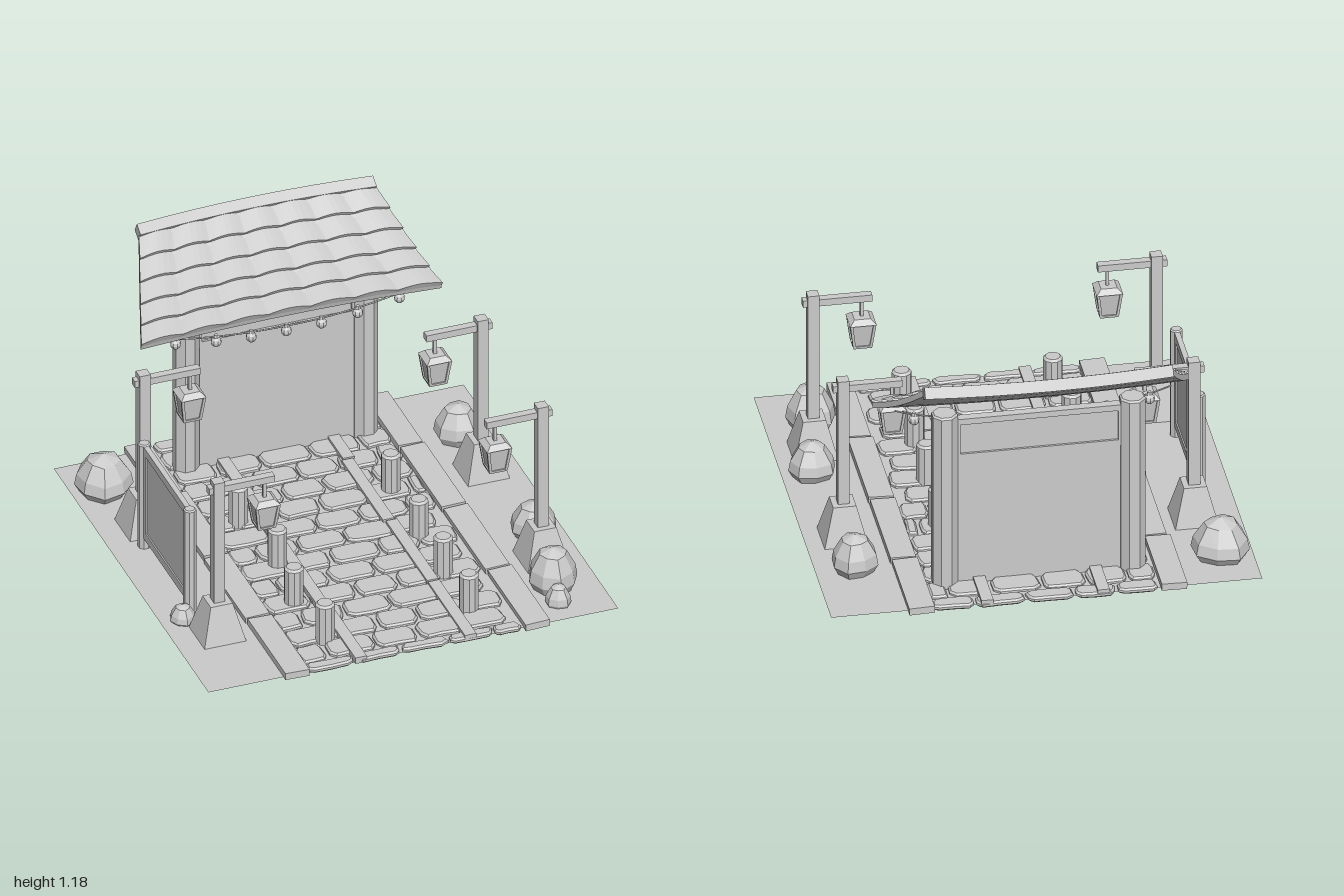
import * as THREE from 'three';

const mat = new THREE.MeshStandardMaterial({ color: 0xcccccc, flatShading: true });
const matDouble = new THREE.MeshStandardMaterial({ color: 0xcccccc, flatShading: true, side: THREE.DoubleSide });

let seed = 7;
const rnd = () => { seed = (seed * 16807) % 2147483647; return seed / 2147483647; };
const jitter = (a) => (rnd() - 0.5) * 2 * a;

function add(parent, name, geo, x = 0, y = 0, z = 0, m = mat) {
  const mesh = new THREE.Mesh(geo, m);
  mesh.name = name;
  mesh.position.set(x, y, z);
  parent.add(mesh);
  return mesh;
}
const box = (w, h, d) => new THREE.BoxGeometry(w, h, d);
const toPoints = (list) => list.map(p => new THREE.Vector2(...p));

// Round post with a chamfered top, standing on y = 0
function postGeo(r, h, bevel, sides = 8) {
  return new THREE.LatheGeometry(toPoints([[r, 0], [r, h - bevel], [r - bevel, h], [0, h]]), sides).rotateY(Math.PI / sides);
}

// Four-sided taper, standing on y = 0
function taper(bottom, top, h) {
  return new THREE.CylinderGeometry(top * Math.SQRT1_2, bottom * Math.SQRT1_2, h, 4).rotateY(Math.PI / 4).translate(0, h / 2, 0);
}

// Rectangular frame in the xy plane with a thinner panel inside
function framedPanel(parent, name, w, h, d, border) {
  const g = new THREE.Group();
  g.name = name;
  const x = w / 2, y = h / 2, a = x - border, b = y - border;
  const s = new THREE.Shape(toPoints([[-x, -y], [x, -y], [x, y], [-x, y]]));
  s.holes.push(new THREE.Path(toPoints([[-a, -b], [-a, b], [a, b], [a, -b]])));
  add(g, 'frame', new THREE.ExtrudeGeometry(s, { depth: d, bevelEnabled: false }), 0, 0, -d / 2);
  add(g, 'panel', box(a * 2, b * 2, d * 0.5));
  parent.add(g);
  return g;
}

// Irregular bevelled paving stone
function stoneGeo(w, d) {
  const a = w / 2 - 0.008, b = d / 2 - 0.008;
  const ring = [[-1, -0.55], [-0.8, -1], [0, -1], [0.8, -1], [1, -0.55], [1, 0.55], [0.8, 1], [0, 1], [-0.8, 1], [-1, 0.55]];
  const s = new THREE.Shape(toPoints(ring.map(([x, y]) => [x * a + jitter(0.005), y * b + jitter(0.004)])));
  return new THREE.ExtrudeGeometry(s, { depth: 0.01, bevelThickness: 0.008, bevelSize: 0.008, bevelSegments: 1 }).rotateX(-Math.PI / 2);
}

function paving(root) {
  const g = new THREE.Group();
  g.name = 'paving';
  for (let k = 0; k < 15; k++) {
    const zc = -0.905 + k * 0.135;
    const z0 = Math.max(zc - 0.061, -0.92), z1 = Math.min(zc + 0.061, 0.98);
    let x = -0.485 - (k % 2) * 0.1;
    while (x < 0.46) {
      const w = 0.205 + jitter(0.025);
      const l = Math.max(x, -0.49), r = Math.min(x + w, 0.495);
      if (r - l > 0.05) add(g, 'stone', stoneGeo(r - l - 0.014, z1 - z0), (l + r) / 2, 0.054 + jitter(0.002), (z0 + z1) / 2);
      x += w;
    }
  }
  root.add(g);
}

function timbers(root) {
  // Edge planks: x, z start, z end
  const planks = [[-0.54, 0.02, 0.52], [-0.535, 0.53, 0.99], [-0.535, -0.5, 0.005], [-0.55, -0.92, -0.51],
    [0.553, 0.015, 0.52], [0.56, 0.53, 0.99], [0.55, -0.5, 0], [0.545, -0.93, -0.51]];
  for (const [x, a, b] of planks) add(root, 'edgePlank', box(0.11, 0.032, b - a), x, 0.066, (a + b) / 2).rotation.z = jitter(0.04);
  // Narrow rails dividing the paving
  for (const x of [-0.245, 0.255])
    for (const [a, b] of [[-0.92, -0.5], [-0.49, 0.01], [0.02, 0.52], [0.53, 0.98]])
      add(root, 'rail', box(0.052, 0.03, b - a), x + jitter(0.006), 0.068, (a + b) / 2);
}

// Roof surface: u across (-1..1), v up the slope (0..1), h lift above the underside
function roofPoint(u, v, h) {
  return [u * (0.685 - 0.145 * v), 0.84 + 0.21 * v + 0.07 * v * v + h * 0.85, -0.51 - 0.41 * v - 0.03 * (1 - u * u) + h * 0.25];
}

// Grid of quads over a list of rows, each row being a function of u
function loft(rows, n) {
  const pos = [], idx = [];
  rows.forEach((row, j) => {
    for (let i = 0; i <= n; i++) pos.push(...row(-1 + 2 * i / n));
    if (j) for (let i = 0; i < n; i++) {
      const a = (j - 1) * (n + 1) + i, b = a + n + 1;
      idx.push(a, a + 1, b + 1, a, b + 1, b);
    }
  });
  const geo = new THREE.BufferGeometry();
  geo.setAttribute('position', new THREE.Float32BufferAttribute(pos, 3));
  geo.setIndex(idx);
  geo.computeVertexNormals();
  return geo;
}

function roof(root) {
  const g = new THREE.Group();
  g.name = 'roof';
  const surface = (name, rows, n) => add(g, name, loft(rows, n), 0, 0, 0, matDouble);
  const cols = 7, courses = 5;
  const wave = u => 0.018 * Math.abs(Math.sin(Math.PI * cols * (u + 1) / 2));
  // Overlapping tile courses, each with a raised lower lip
  for (let r = 0; r < courses; r++) {
    const v0 = r / courses, v1 = (r + 1) / courses;
    surface('tileCourse', [
      u => roofPoint(u, v0, 0.022),
      u => roofPoint(u, v0 - 0.012, 0.046 + wave(u)),
      u => roofPoint(u, v1, 0.026 + wave(u)),
    ], cols * 6);
  }
  // Slab below the tiles: closed loop of top and underside, then its two ends
  const steps = [0, 0.25, 0.5, 0.75, 1];
  const top = steps.map(v => u => roofPoint(u, v, 0.03));
  const under = steps.map(v => u => roofPoint(u, v, 0)).reverse();
  surface('roofSlab', [...top, ...under, top[0]], 7);
  for (const u of [-1, 1]) surface('slabEnd', [0, 0.03].map(h => t => roofPoint(u, (t + 1) / 2, h)), 4);
  // Bowed ridge beam and its ends
  const section = [[0, -0.028], [0.026, 0.018], [-0.02, 0.045], [-0.046, 0]];
  const ridge = section.map(([dz, dy]) => u => [u * 0.538, 1.136 + dy, -0.925 + dz - 0.03 * (1 - u * u)]);
  surface('ridgeBeam', [...ridge, ridge[0]], 8);
  for (const u of [-1, 1]) surface('ridgeEnd', [[0, 1], [3, 2]].map(([a, b]) => t => ridge[t < 0 ? a : b](u)), 1);
  root.add(g);
}

function gate(root) {
  const g = new THREE.Group();
  g.name = 'gateWall';
  for (const s of [-1, 1]) add(g, 'gatePost', postGeo(0.058, 0.9, 0.008), s * 0.407, 0, -0.7);
  add(g, 'wallPanel', box(0.74, 0.62, 0.03), 0, 0.36, -0.7);
  framedPanel(g, 'upperPanel', 0.74, 0.2, 0.04, 0.028).position.set(0, 0.77, -0.7);
  root.add(g);
}

function lightString(root) {
  const bulbs = [[-0.505, 0.795], [-0.32, 0.765], [-0.16, 0.752], [0, 0.747], [0.16, 0.75], [0.325, 0.765], [0.515, 0.797]];
  const pts = [[-0.6, 0.85], ...bulbs.map(([x, y]) => [x, y + 0.025]), [0.6, 0.85]].map(([x, y]) => new THREE.Vector3(x, y, -0.565));
  add(root, 'lightCord', new THREE.TubeGeometry(new THREE.CatmullRomCurve3(pts), 32, 0.004, 5));
  for (const [x, y] of bulbs) {
    add(root, 'bulb', new THREE.SphereGeometry(0.024, 8, 6), x, y, -0.565);
    add(root, 'bulbCap', new THREE.CylinderGeometry(0.009, 0.013, 0.018, 6), x, y + 0.026, -0.565);
  }
}

// Lamp post with its arm reaching toward +x
function lampPost() {
  const g = new THREE.Group();
  g.name = 'lampPost';
  add(g, 'base', taper(0.19, 0.1, 0.175), 0, 0.055, 0);
  add(g, 'post', box(0.05, 0.62, 0.05), 0, 0.525, 0);
  add(g, 'arm', box(0.3, 0.032, 0.036), 0.105, 0.795, 0);
  add(g, 'hanger', box(0.014, 0.09, 0.014), 0.212, 0.74, 0);
  add(g, 'lanternCap', taper(0.115, 0.07, 0.022), 0.21, 0.683, 0);
  add(g, 'lanternBody', taper(0.072, 0.1, 0.11), 0.21, 0.573, 0);
  add(g, 'lanternFoot', taper(0.08, 0.084, 0.012), 0.21, 0.563, 0);
  // Corner bars of the lantern
  for (const sx of [-1, 1]) for (const sz of [-1, 1]) {
    const bar = add(g, 'lanternBar', box(0.012, 0.115, 0.012), 0.21 + sx * 0.043, 0.627, sz * 0.043);
    bar.rotation.set(sz * 0.125, 0, -sx * 0.125);
  }
  return g;
}

function rock(root, x, z, r, y0, y1) {
  const prof = [[0.68, 0], [0.98, 0.3], [0.9, 0.55], [0.55, 0.88], [0, 1]];
  const geo = new THREE.LatheGeometry(toPoints(prof.map(([a, b]) => [a * r, b * (y1 - y0)])), 8);
  // Skew by a smooth rule so each rock is uneven
  const p = geo.attributes.position, phase = x * 9 + z * 5;
  for (let i = 0; i < p.count; i++) {
    const px = p.getX(i), pz = p.getZ(i), k = 1 + 0.07 * Math.sin(3 * Math.atan2(pz, px) + phase);
    p.setXYZ(i, px * k, p.getY(i) * (1 - 0.3 * Math.abs(px) * (1 + Math.sin(phase))), pz * k);
  }
  add(root, 'rock', geo, x, y0, z, matDouble).rotation.y = phase;
}

export function createModel() {
  const root = new THREE.Group();
  root.name = 'gatewayCourtyard';
  add(root, 'ground', new THREE.PlaneGeometry(1.867, 1.87).rotateX(-Math.PI / 2), 0, 0.055, 0.035, matDouble);
  paving(root);
  timbers(root);
  gate(root);
  roof(root);
  lightString(root);

  for (const [x, z] of [[-0.735, -0.345], [-0.735, 0.555], [0.765, -0.24], [0.765, 0.487]]) {
    const lamp = lampPost();
    lamp.position.set(x, 0, z);
    if (x > 0) lamp.rotation.y = Math.PI;
    root.add(lamp);
  }

  // Short bollards in two lines
  for (const [x, z] of [[-0.35, -0.22], [0.35, -0.23], [-0.31, 0.15], [0.335, 0.145], [-0.35, 0.455], [0.33, 0.455], [-0.325, 0.765], [0.33, 0.765]])
    add(root, 'bollard', postGeo(0.043, 0.2, 0.01, 10), x, 0.05, z);

  // Notice board on the right-hand verge
  for (const z of [-0.2, 0.35]) add(root, 'boardPost', postGeo(0.028, 0.555, 0.006), -0.785, 0.025, z);
  const board = framedPanel(root, 'noticeBoard', 0.53, 0.465, 0.024, 0.038);
  board.position.set(-0.785, 0.342, 0.075);
  board.rotation.y = Math.PI / 2;

  // Rocks: x, z, radius, bottom, top
  for (const a of [[-0.795, -0.67, 0.13, 0.03, 0.24], [0.765, -0.52, 0.105, 0.035, 0.23], [-0.835, 0.4, 0.058, 0.03, 0.135],
    [0.805, 0.295, 0.105, 0.035, 0.22], [0.735, 0.71, 0.11, 0.03, 0.255], [0.71, 0.84, 0.058, 0.03, 0.15]]) rock(root, ...a);
  return root;
}
